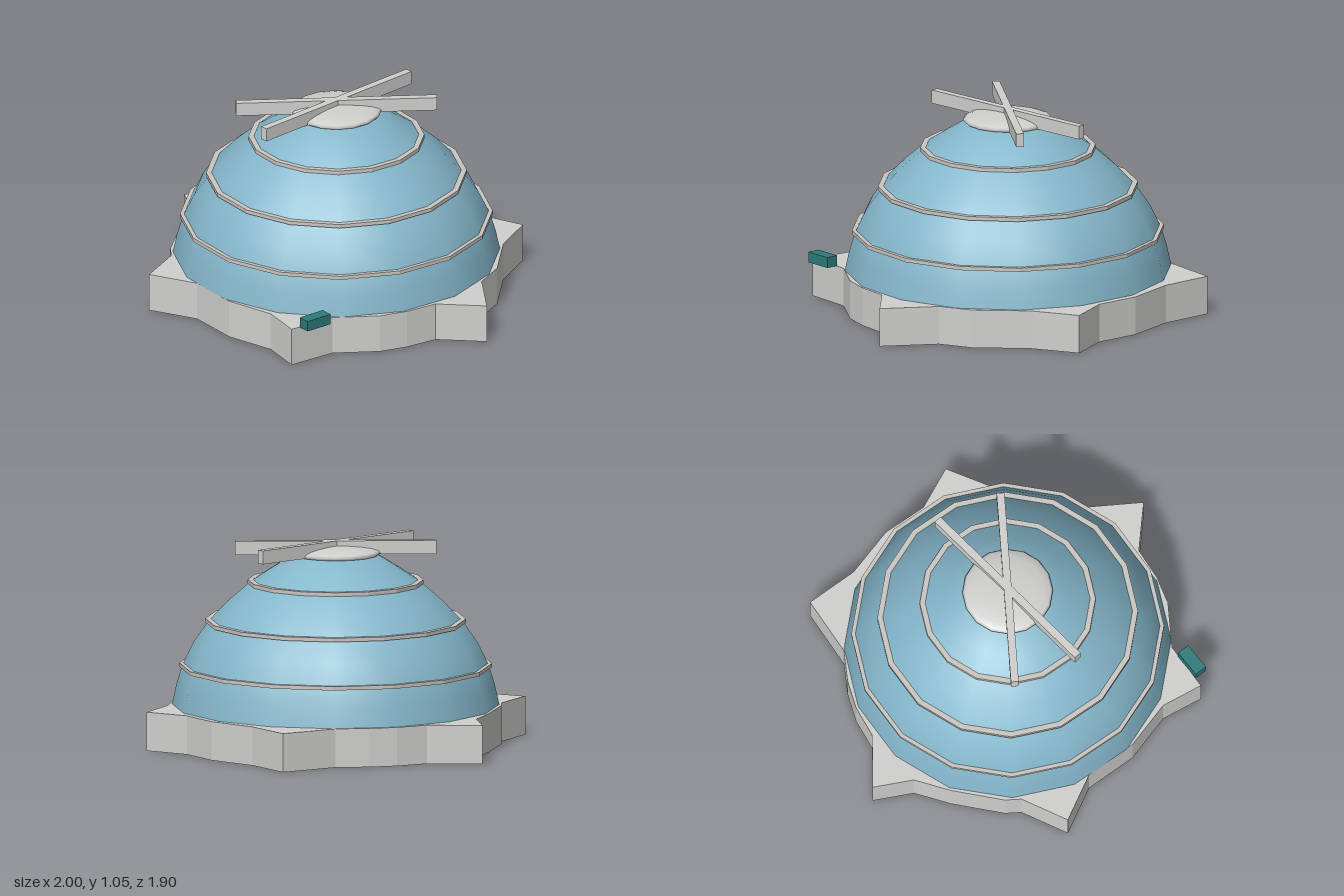
import * as THREE from 'three';

const material = (name, color) => {
  const m = new THREE.MeshStandardMaterial({ color });
  m.name = name;
  return m;
};

export function createModel() {
  const model = new THREE.Group();
  const stone = material('pale grey', 0xcfcfcd);
  const band = material('warm grey', 0xcac6c1);
  const blue = material('dome blue', 0x84b6ca);
  const teal = material('dark teal', 0x2d7a7a);

  const add = (name, geometry, mat, x = 0, y = 0, z = 0) => {
    const mesh = new THREE.Mesh(geometry, mat);
    mesh.name = name;
    mesh.position.set(x, y, z);
    model.add(mesh);
    return mesh;
  };

  // Six-pointed star base: outline as [x, z] pairs
  const outline = [
    [1, 0.1], [0.81, 0.28], [0.66, 0.54], [0.52, 0.66],
    [0.42, 0.95], [0.19, 0.82], [0.02, 0.845], [-0.13, 0.84], [-0.36, 0.76],
    [-0.61, 0.81], [-0.63, 0.59], [-0.76, 0.36], [-0.82, 0.09],
    [-1, -0.11], [-0.8, -0.28], [-0.77, -0.36], [-0.61, -0.59], [-0.48, -0.74],
    [-0.43, -0.95], [-0.17, -0.835], [0, -0.85], [0.15, -0.83], [0.31, -0.78],
    [0.62, -0.83], [0.68, -0.56], [0.81, -0.32], [0.855, -0.09],
  ];
  const star = new THREE.Shape(outline.map(([x, z]) => new THREE.Vector2(x, -z)));
  const base = new THREE.ExtrudeGeometry(star, { depth: 0.2, bevelEnabled: false });
  base.rotateX(-Math.PI / 2);
  add('starBase', base, stone);

  // Sixteen-sided dome
  const profile = [
    [0.837, 0.2], [0.815, 0.3], [0.785, 0.4], [0.727, 0.52], [0.65, 0.63],
    [0.55, 0.735], [0.435, 0.835], [0.32, 0.91], [0.19, 0.99], [0, 1],
  ];
  add('dome', new THREE.LatheGeometry(profile.map(([r, y]) => new THREE.Vector2(r, y)), 16), blue);

  // Square-edged bands round the dome
  for (const [radius, y] of [[0.8, 0.402], [0.667, 0.632], [0.45, 0.834]]) {
    const inner = radius - 0.028, h = 0.01;
    const section = [[inner, -h], [radius, -h], [radius, h], [inner, h], [inner, -h]];
    const ring = new THREE.LatheGeometry(section.map(([r, v]) => new THREE.Vector2(r, v)), 16).toNonIndexed();
    ring.computeVertexNormals();
    add('domeBand', ring, band, 0, y, 0);
  }

  // Flattened cap
  const cap = new THREE.SphereGeometry(0.232, 16, 10);
  cap.scale(1, 0.155, 1);
  add('cap', cap, stone, 0, 0.985, 0);

  // Crossed bars on top
  for (const side of [-1, 1]) {
    const bar = add('crossBar', new THREE.BoxGeometry(1.03, 0.07, 0.04), stone, 0, 1.012, 0);
    bar.rotation.y = side * THREE.MathUtils.degToRad(20);
  }

  // Small block on the rim
  const block = add('rimBlock', new THREE.BoxGeometry(0.148, 0.055, 0.066), teal, -0.482, 0.2275, 0.817);
  block.rotation.y = THREE.MathUtils.degToRad(14);

  return model;
}
